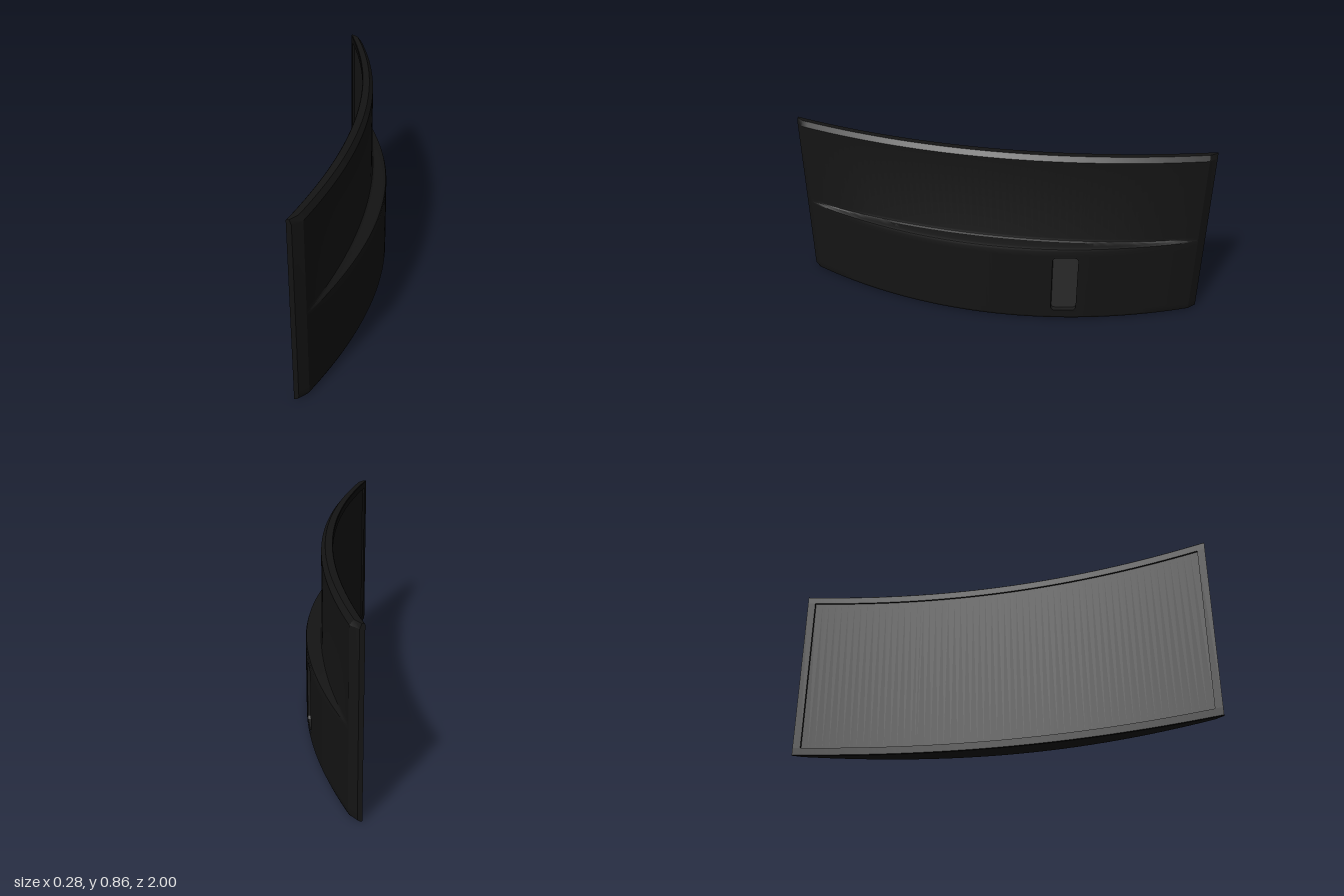
import * as THREE from 'three';
import { toCreasedNormals } from 'three/addons/utils/BufferGeometryUtils.js';

const END = 0.965;      // where the side chamfers and side bezels begin
const RECESS = 0.01;    // screen depth behind the bezel
const SLOT = { z0: -0.43, z1: -0.29, y0: 0.045, y1: 0.37 };

// plan curves: concave inner face, upper and lower convex back
const inner = z => 0.01 - 0.15 * z * z;
const outer = (z, mid) => {
  const a = Math.abs(z), e = -0.082;
  if (a > END) return THREE.MathUtils.lerp(e, -0.12, (a - END) / (1 - END));
  return mid + (e - mid) * (a / END) ** 2;
};
const upper = z => outer(z, 0.063);
const lower = z => outer(z, 0.14);

// closed vertical cross-section at z, counter-clockwise from the bottom
function section({ z, r }) {
  const xi = inner(z), xu = upper(z), xl = lower(z);
  const t = Math.min(0.018, (xu - xi) * 0.4);
  const f = Math.min(0.018, (xl - xu) * 0.4);
  return [
    [xi + 0.003, 0], [xl - t, 0.002], [xl - 0.3 * t, 0.006], [xl, 0.018],
    [xl, SLOT.y0], [xl, SLOT.y1], [xl, 0.395],
    [xl - 0.2 * f, 0.407], [xl - f, 0.412],
    [xu + 0.7 * f, 0.415], [xu + 0.2 * f, 0.42], [xu, 0.432],
    [xu, 0.835], [xu - t, 0.857], [xi + 0.003, 0.857], [xi, 0.854],
    [xi, 0.822], [xi + r, 0.822], [xi + r, 0.038], [xi, 0.038], [xi, 0.003],
  ].map(([x, y]) => new THREE.Vector3(x, y, z));
}

// columns along z, doubled at the bezel edge so the recess has a sharp wall
function columns() {
  const zs = [SLOT.z0, SLOT.z1];
  for (let i = 0; i <= 60; i++) zs.push(END * (i / 30 - 1));
  zs.sort((a, b) => a - b);
  return [
    { z: -1, r: 0 }, { z: -END, r: 0 },
    ...zs.map(z => ({ z, r: RECESS })),
    { z: END, r: 0 }, { z: 1, r: 0 },
  ];
}

function material(color, side = THREE.FrontSide) {
  return new THREE.MeshStandardMaterial({ color, side });
}

function named(name, geometry, mat) {
  const mesh = new THREE.Mesh(geometry, mat);
  mesh.name = name;
  return mesh;
}

function fromPositions(positions) {
  const g = new THREE.BufferGeometry();
  g.setAttribute('position', new THREE.Float32BufferAttribute(positions, 3));
  return g;
}

// skin over the chosen cells between neighbouring cross-sections
function skin(cols, keep) {
  const rows = cols.map(section), n = rows[0].length, pos = [];
  for (let i = 0; i < rows.length - 1; i++) {
    for (let j = 0; j < n; j++) {
      if (!keep(j, cols[i], cols[i + 1])) continue;
      const k = (j + 1) % n;
      const a = rows[i][j], b = rows[i][k], c = rows[i + 1][k], d = rows[i + 1][j];
      for (const p of [a, b, c, a, c, d]) pos.push(p.x, p.y, p.z);
    }
  }
  return toCreasedNormals(fromPositions(pos), 0.4);
}

// rounded rectangle in (-z, y)
function roundedRect(PathType, x0, y0, x1, y1, r) {
  const p = new PathType();
  p.moveTo(x0 + r, y0);
  p.lineTo(x1 - r, y0);
  p.absarc(x1 - r, y0 + r, r, -Math.PI / 2, 0);
  p.lineTo(x1, y1 - r);
  p.absarc(x1 - r, y1 - r, r, 0, Math.PI / 2);
  p.lineTo(x0 + r, y1);
  p.absarc(x0 + r, y1 - r, r, Math.PI / 2, Math.PI);
  p.lineTo(x0, y0 + r);
  p.absarc(x0 + r, y0 + r, r, Math.PI, Math.PI * 1.5);
  return p;
}

// lay a flat shape onto the lower back, sunk by depth
function ontoBack(shape, depth) {
  const g = new THREE.ShapeGeometry(shape, 6), p = g.attributes.position;
  for (let i = 0; i < p.count; i++) {
    const z = -p.getX(i);
    p.setXYZ(i, lower(z) - depth, p.getY(i), z);
  }
  g.computeVertexNormals();
  return g;
}

export function createModel() {
  const group = new THREE.Group();
  const cols = columns();
  const bodyMat = material(0x141414), bodyTwoSided = material(0x141414, THREE.DoubleSide);

  const isScreen = (j, a, b) => j === 17 && a.r > 0 && b.r > 0;
  const isSlot = (j, a, b) =>
    j === 4 && a.z >= SLOT.z0 - 1e-6 && b.z <= SLOT.z1 + 1e-6;

  // housing, bezel and screen share one set of cross-sections
  group.add(named('backHousing', skin(cols, (j, a, b) => j < 14 && !isSlot(j, a, b)), bodyMat));
  group.add(named('bezel', skin(cols, (j, a, b) => j >= 14 && !isScreen(j, a, b)), material(0x0b0b0b)));
  group.add(named('screen', skin(cols, isScreen), material(0x161616)));

  // flat ends
  for (const s of [-1, 1]) {
    const pts = section({ z: s, r: 0 }).filter((p, j) => j < 16 || j === 20);
    const g = new THREE.ShapeGeometry(new THREE.Shape(pts.map(p => new THREE.Vector2(p.x, p.y))));
    g.translate(0, 0, s);
    group.add(named(s > 0 ? 'frontEnd' : 'rearEnd', g, bodyTwoSided));
  }

  // socket recess in the lower back: surround, walls and floor
  const hole = [0.3, 0.055, 0.42, 0.36, 0.018];
  const surround = new THREE.Shape([
    [-SLOT.z1, SLOT.y0], [-SLOT.z0, SLOT.y0], [-SLOT.z0, SLOT.y1], [-SLOT.z1, SLOT.y1],
  ].map(p => new THREE.Vector2(...p)));
  surround.holes.push(roundedRect(THREE.Path, ...hole));
  group.add(named('socketSurround', ontoBack(surround, 0), bodyMat));

  const floor = roundedRect(THREE.Shape, ...hole), depth = 0.025;
  const rim = floor.getPoints(6), pos = [];
  rim.forEach((p, i) => {
    const q = rim[(i + 1) % rim.length];
    const at = (v, d) => [lower(-v.x) - d, v.y, -v.x];
    const a = at(p, 0), b = at(q, 0), c = at(q, depth), d = at(p, depth);
    pos.push(...a, ...b, ...c, ...a, ...c, ...d);
  });
  const walls = toCreasedNormals(fromPositions(pos), 0.6);
  group.add(named('socketWalls', walls, material(0x1c1c1c, THREE.DoubleSide)));
  group.add(named('socketFloor', ontoBack(floor, depth), material(0x2a2a2a)));

  return group;
}
